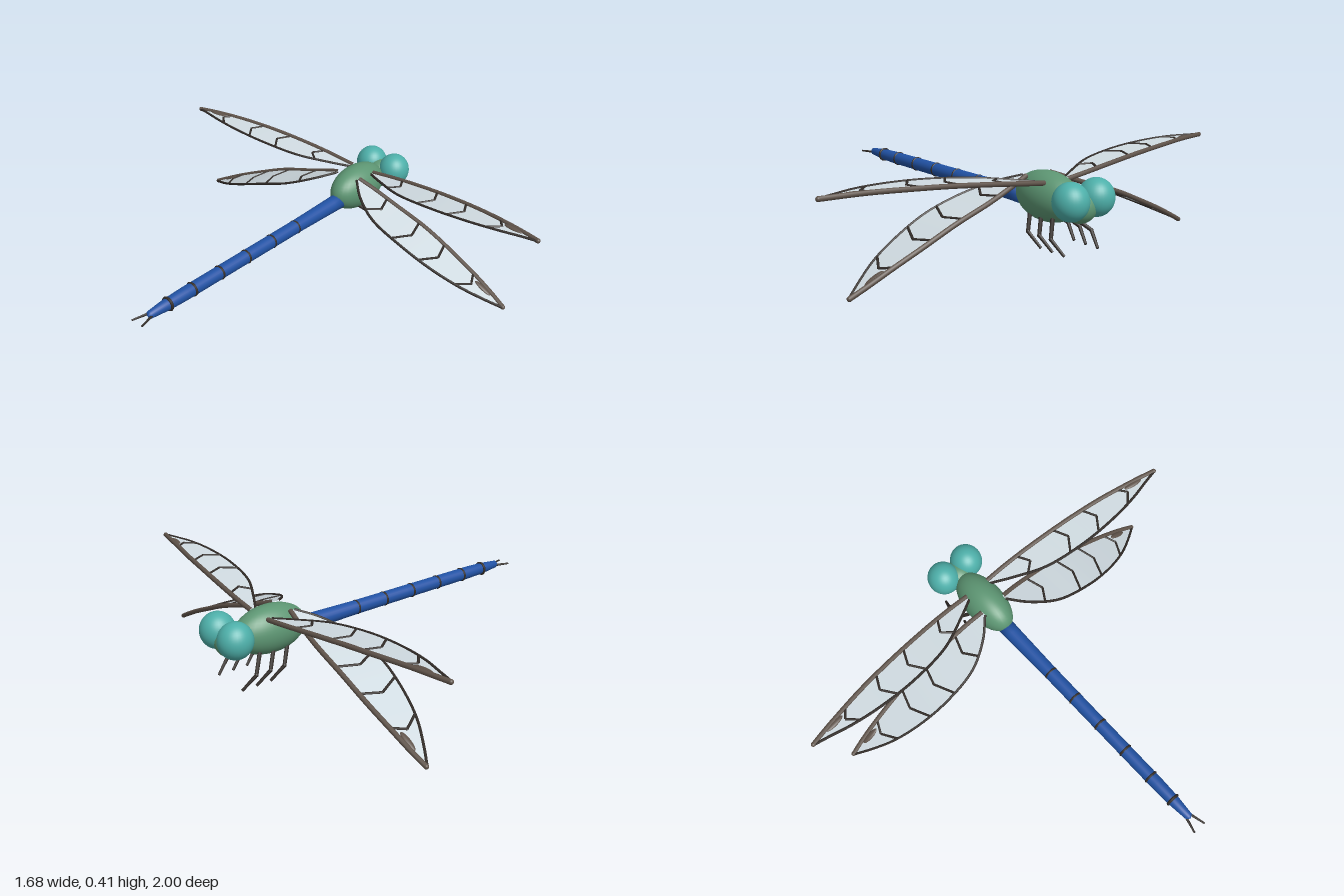
import * as THREE from 'three';

const mat = (name, color, opts = {}) => {
  const m = new THREE.MeshStandardMaterial({ color, ...opts });
  m.name = name;
  return m;
};
const V = (x, y, z) => new THREE.Vector3(x, y, z);

export function createModel() {
  const blue = mat('abdomenBlue', 0x2152a4);
  const green = mat('bodyGreen', 0x5d9673);
  const teal = mat('eyeTeal', 0x4dafa9);
  const dark = mat('darkBrown', 0x322c28);
  const brown = mat('edgeBrown', 0x5e5249);
  const membrane = mat('wingGrey', 0xd0dbe1, { side: THREE.DoubleSide });

  const model = new THREE.Group();
  model.name = 'dragonfly';

  const add = (parent, name, geo, material) => {
    const mesh = new THREE.Mesh(geo, material);
    mesh.name = name;
    parent.add(mesh);
    return mesh;
  };
  const ellipsoid = (parent, name, material, pos, size) => {
    const m = add(parent, name, new THREE.SphereGeometry(1, 32, 24), material);
    m.position.set(...pos);
    m.scale.set(...size);
    return m;
  };
  // Straight tapered rod between two points
  const rod = (parent, name, material, a, b, r0, r1 = r0) => {
    const d = b.clone().sub(a);
    const m = add(parent, name, new THREE.CylinderGeometry(r1, r0, d.length(), 8), material);
    m.position.copy(a).addScaledVector(d, 0.5);
    m.quaternion.setFromUnitVectors(V(0, 1, 0), d.normalize());
  };

  // Thorax and head
  ellipsoid(model, 'thorax', green, [0.56, 0.275, 0], [0.17, 0.104, 0.09]);
  ellipsoid(model, 'head', green, [0.745, 0.272, 0], [0.07, 0.068, 0.07]);

  // Abdomen: slim tapered body along -x with dark segment rings
  const abdomen = new THREE.Group();
  abdomen.name = 'abdomen';
  abdomen.position.set(0.42, 0.247, 0);
  abdomen.rotation.z = Math.PI / 2 + 0.012;
  model.add(abdomen);
  const profile = [[0, 0], [0.038, 0], [0.036, 0.06], [0.031, 0.3], [0.03, 0.6], [0.029, 1.0],
    [0.026, 1.1], [0.017, 1.195], [0, 1.205]].map(([r, y]) => new THREE.Vector2(r, y));
  add(abdomen, 'abdomenBody', new THREE.LatheGeometry(profile, 24), blue);
  [0.265, 0.105, -0.055, -0.218, -0.38, -0.54, -0.675].forEach((x) => {
    const ring = add(abdomen, 'segmentRing', new THREE.TorusGeometry(0.0265, 0.0065, 8, 24), dark);
    ring.rotation.x = Math.PI / 2;
    ring.position.y = 0.42 - x;
  });

  // Wing from stations [z, y, leading x, trailing x]
  const buildWing = (parent, name, stations) => {
    const wing = new THREE.Group();
    wing.name = name;
    parent.add(wing);
    const lead = new THREE.CatmullRomCurve3(stations.map(([z, y, a]) => V(a, y, z)));
    const trail = new THREE.CatmullRomCurve3(stations.map(([z, y, , b]) => V(b, y, z)));
    const point = (s, u) => lead.getPoint(s).lerp(trail.getPoint(s), u);

    // Membrane
    const n = 36, pos = [], idx = [];
    for (let i = 0; i <= n; i++) {
      pos.push(...point(i / n, 0).toArray(), ...point(i / n, 1).toArray());
      if (i < n) {
        const k = i * 2;
        idx.push(k, k + 1, k + 3, k, k + 3, k + 2);
      }
    }
    const geo = new THREE.BufferGeometry();
    geo.setAttribute('position', new THREE.Float32BufferAttribute(pos, 3));
    geo.setIndex(idx);
    geo.computeVertexNormals();
    add(wing, 'membrane', geo, membrane);

    // Edge veins
    add(wing, 'leadingEdge', new THREE.TubeGeometry(lead, 40, 0.0105, 8), brown);
    add(wing, 'trailingEdge', new THREE.TubeGeometry(trail, 40, 0.006, 6), dark);
    ellipsoid(wing, 'wingTip', brown, lead.getPoint(1).toArray(), [0.0105, 0.0105, 0.0105]);

    // Chevron cross veins, located by distance along the span
    const z0 = stations[0][0], z1 = stations[stations.length - 1][0];
    const atSpan = (f, u) => {
      let lo = 0, hi = 1;
      for (let i = 0; i < 24; i++) {
        const mid = (lo + hi) / 2;
        if ((lead.getPoint(mid).z - z0) / (z1 - z0) < f) lo = mid; else hi = mid;
      }
      return point(lo, u);
    };
    [0.22, 0.44, 0.615, 0.82].forEach((f) => {
      const peak = atSpan(f, 0.5);
      rod(wing, 'crossVein', dark, atSpan(f - 0.035, 0), peak, 0.0055);
      rod(wing, 'crossVein', dark, peak, atSpan(f - 0.05, 1), 0.0055);
    });

    // Dark spot near the tip
    const a = atSpan(0.82, 0.22), b = atSpan(0.92, 0.25);
    const spot = ellipsoid(wing, 'wingSpot', brown, a.clone().lerp(b, 0.5).toArray(),
      [0.014, 0.008, a.distanceTo(b) / 2]);
    spot.quaternion.setFromUnitVectors(V(0, 0, 1), b.sub(a).normalize());
  };

  const fore = [
    [0.06, 0.345, 0.605, 0.585], [0.16, 0.357, 0.603, 0.53], [0.3, 0.373, 0.594, 0.465],
    [0.5, 0.391, 0.574, 0.432], [0.68, 0.401, 0.55, 0.431], [0.82, 0.405, 0.524, 0.447],
    [0.92, 0.404, 0.504, 0.47], [0.99, 0.402, 0.488, 0.485],
  ];
  const hind = [
    [0.06, 0.355, 0.495, 0.475], [0.14, 0.325, 0.507, 0.4], [0.26, 0.28, 0.517, 0.338],
    [0.43, 0.222, 0.523, 0.322], [0.58, 0.157, 0.52, 0.342], [0.71, 0.098, 0.511, 0.383],
    [0.81, 0.048, 0.5, 0.438], [0.88, 0.012, 0.488, 0.484],
  ];

  // Mirrored parts
  for (const s of [1, -1]) {
    const half = new THREE.Group();
    half.name = s > 0 ? 'rightSide' : 'leftSide';
    half.scale.z = s;
    model.add(half);

    ellipsoid(half, 'eye', teal, [0.765, 0.303, 0.067], [0.075, 0.078, 0.073]);
    buildWing(half, 'foreWing', fore);
    buildWing(half, 'hindWing', hind);
    rod(half, 'tailClasper', dark, V(-0.765, 0.232, 0.01), V(-0.84, 0.229, 0.03), 0.006, 0.004);

    // Three bent legs
    for (let i = 0; i < 3; i++) {
      const x = i * 0.068;
      const knee = V(0.567 + x, 0.147, 0.108);
      rod(half, 'upperLeg', dark, V(0.51 + x, 0.205, 0.05), knee, 0.009, 0.008);
      ellipsoid(half, 'knee', dark, knee.toArray(), [0.0085, 0.0085, 0.0085]);
      rod(half, 'lowerLeg', dark, knee, V(0.625 + x, 0.089, 0.089), 0.008, 0.006);
    }
  }
  return model;
}
